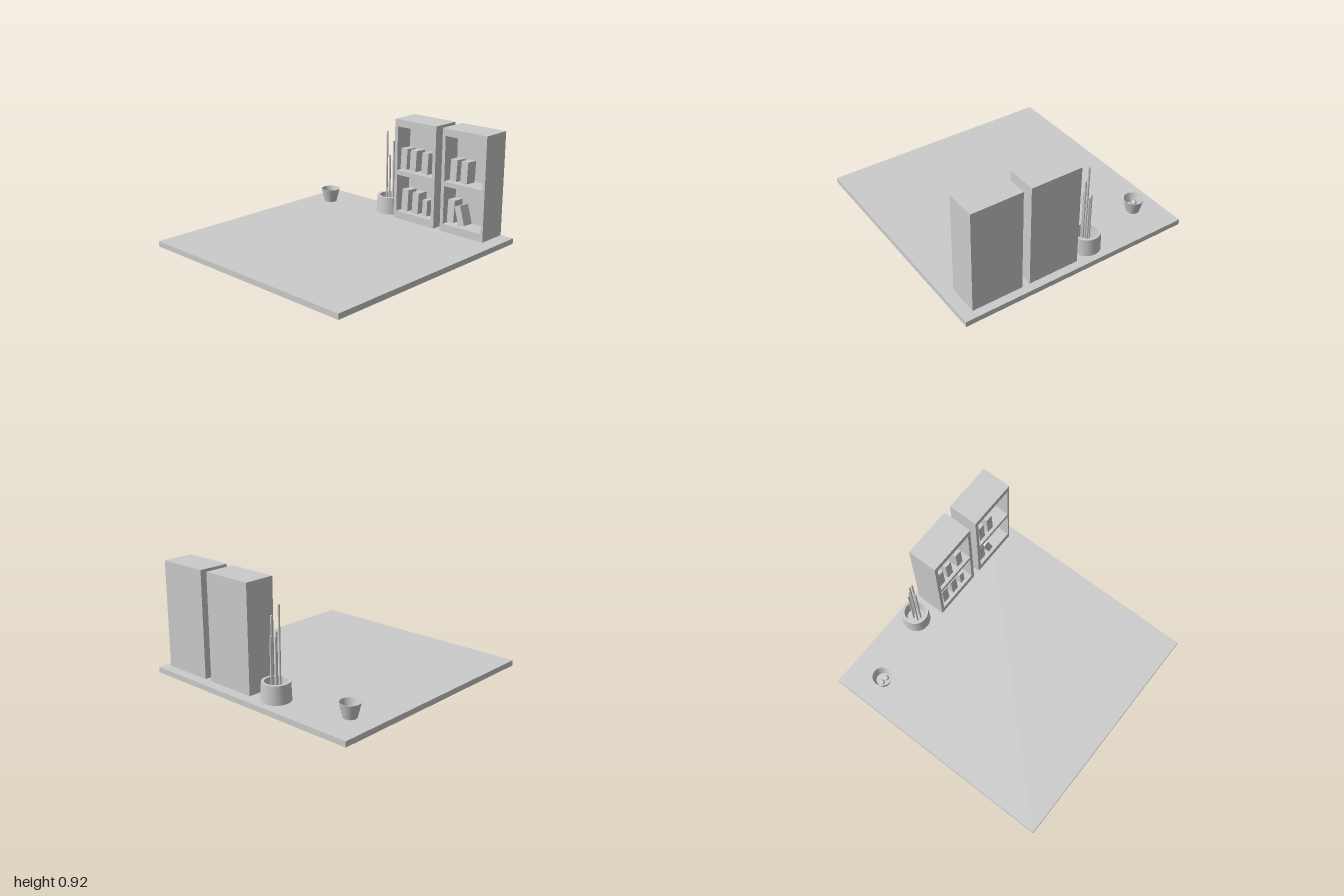
import * as THREE from 'three';
import { toCreasedNormals } from 'three/addons/utils/BufferGeometryUtils.js';

const material = new THREE.MeshStandardMaterial({ color: 0xcccccc });

function add(parent, name, geometry, x, y, z) {
  const mesh = new THREE.Mesh(geometry, material);
  mesh.name = name;
  mesh.position.set(x, y, z);
  parent.add(mesh);
  return mesh;
}

// Closed pot profile, from the underside up the outside and down into the bowl
function potGeometry(points) {
  const profile = points.map(([r, y]) => new THREE.Vector2(r, y));
  return toCreasedNormals(new THREE.LatheGeometry(profile, 48), 0.5);
}

// Bookcase: a front frame with two openings and a solid back
function bookcase(x0, x1, holeX0, holeX1) {
  const group = new THREE.Group();
  const bottom = 0.065, top = 0.915, back = -0.95, recess = -0.86, front = -0.7;
  const rect = (Type, a, b, c, d) => {
    const path = new Type();
    path.moveTo(a, b).lineTo(c, b).lineTo(c, d).lineTo(a, d).closePath();
    return path;
  };
  const shape = rect(THREE.Shape, x0, bottom, x1, top);
  for (const [low, high] of [[0.13, 0.445], [0.485, 0.855]]) {
    shape.holes.push(rect(THREE.Path, holeX0, low, holeX1, high));
  }
  add(group, 'shelfFrame',
    new THREE.ExtrudeGeometry(shape, { depth: front - recess, bevelEnabled: false }), 0, 0, recess);
  add(group, 'backPanel', new THREE.BoxGeometry(x1 - x0, top - bottom, recess - back),
    (x0 + x1) / 2, (bottom + top) / 2, (recess + back) / 2);
  return group;
}

export function createModel() {
  const model = new THREE.Group();
  model.name = 'roomCorner';

  // Floor slab
  add(model, 'floor', new THREE.BoxGeometry(1.97, 0.045, 2), 0, 0.0225, 0);

  // Two bookcases
  const left = bookcase(-0.01, 0.415, 0.02, 0.385);
  left.name = 'wideBookcase';
  const right = bookcase(0.48, 0.9, 0.51, 0.88);
  right.name = 'narrowBookcase';
  model.add(left, right);

  // Books: centre x, centre y, width, height, sideways lean
  const books = [
    [0.068, 0.58, 0.063, 0.175, 0], [0.166, 0.58, 0.063, 0.175, 0], [0.288, 0.58, 0.063, 0.175, 0],
    [0.087, 0.228, 0.065, 0.182, 0], [0.198, 0.225, 0.063, 0.178, 0], [0.298, 0.205, 0.048, 0.134, 0],
    [0.578, 0.58, 0.063, 0.175, 0], [0.681, 0.58, 0.063, 0.175, 0],
    [0.565, 0.24, 0.065, 0.184, 0], [0.65, 0.215, 0.056, 0.163, 0.32]
  ];
  for (const [x, y, w, h, lean] of books) {
    const book = add(model, 'book', new THREE.BoxGeometry(w, h, 0.105), x, y, -0.78);
    book.rotation.set(-0.06, 0, lean);
  }

  // Large pot holding tall sticks
  const planter = new THREE.Group();
  planter.name = 'planter';
  planter.position.set(-0.176, 0, -0.843);
  model.add(planter);
  add(planter, 'plantPot', potGeometry([
    [0, 0.055], [0.115, 0.055], [0.108, 0.2], [0.085, 0.2], [0.072, 0.09], [0, 0.09]
  ]), 0, 0, 0);
  const sticks = [
    [-0.016, -0.012, 0.54], [0.016, -0.029, 0.54], [0.034, 0, 0.68], [0.02, 0.031, 0.56], [-0.014, 0.028, 0.765]
  ];
  for (const [x, z, top] of sticks) {
    add(planter, 'stick', new THREE.CylinderGeometry(0.008, 0.008, top - 0.08, 16), x, (top + 0.08) / 2, z);
  }

  // Small tapered bin with two balls inside
  const bin = new THREE.Group();
  bin.name = 'bin';
  bin.position.set(-0.76, 0, -0.705);
  model.add(bin);
  add(bin, 'binBody', potGeometry([
    [0, 0.05], [0.053, 0.05], [0.081, 0.165], [0.076, 0.165], [0.055, 0.08], [0, 0.08]
  ]), 0, 0, 0);
  for (const side of [-1, 1]) {
    add(bin, 'paperBall', new THREE.SphereGeometry(0.021, 20, 14), side * 0.024, 0.101, 0.016);
  }

  return model;
}
